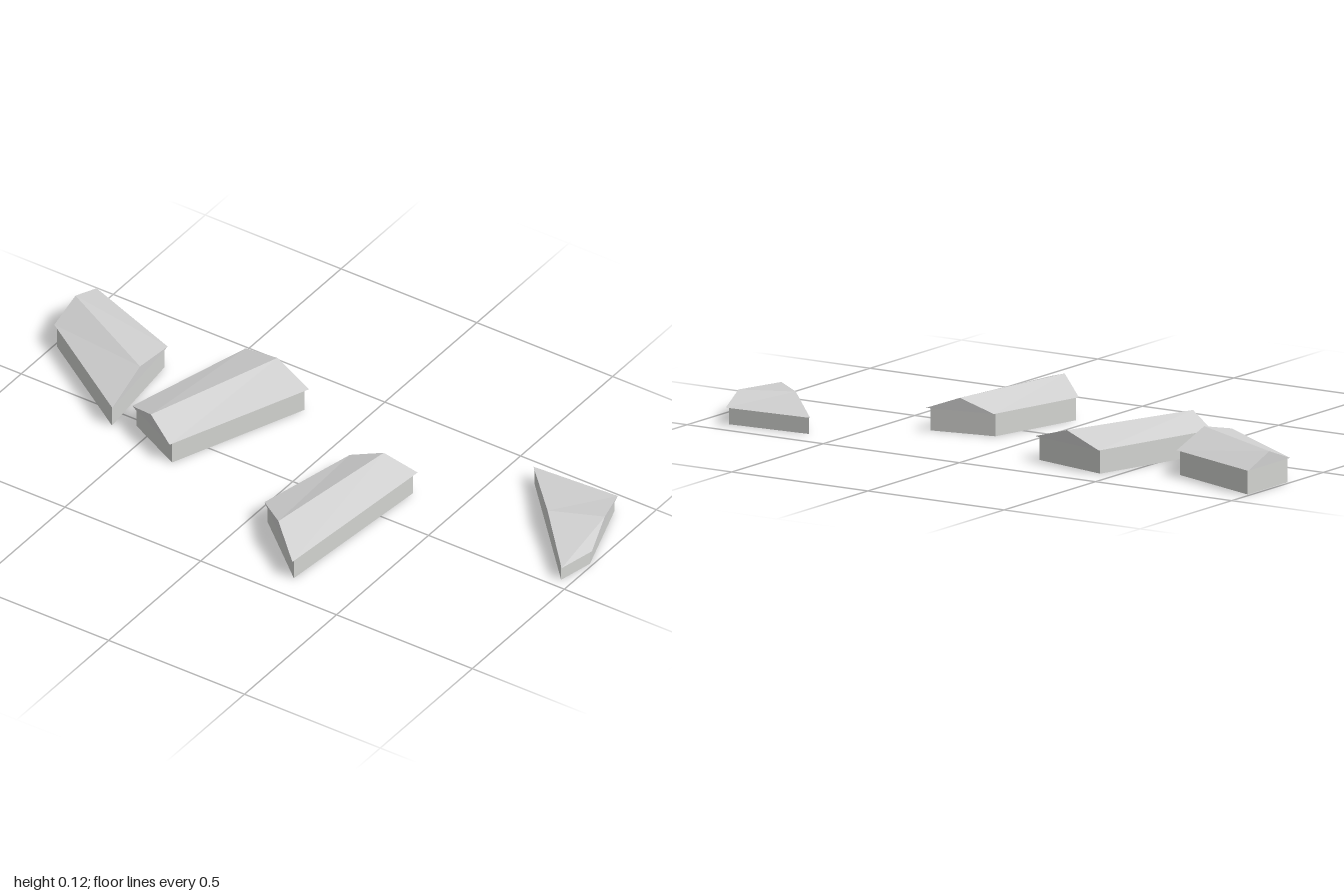
import * as THREE from 'three';

const wallGrey = new THREE.MeshStandardMaterial({ color: 0xd2d3d0 });
wallGrey.name = 'wallGrey';
const roofGrey = new THREE.MeshStandardMaterial({ color: 0xd0d0d0 });
roofGrey.name = 'roofGrey';

// Each plot: eave corners [x, z] counter-clockwise from above; gables on edges 0-1 and 2-3.
const houses = [
  { name: 'westHouse', eave: 0.077, ridge: 0.118,
    plot: [[-1, -0.41], [-1, -0.18], [-0.61, 0.08], [-0.65, -0.28]] },
  { name: 'midWestHouse', eave: 0.075, ridge: 0.116,
    plot: [[-0.17, -0.34], [-0.45, -0.408], [-0.568, 0.035], [-0.36, 0.138]] },
  { name: 'midEastHouse', eave: 0.072, ridge: 0.113,
    plot: [[0.345, -0.17], [0.122, -0.13], [0.045, 0.22], [0.29, 0.43]] },
  { name: 'eastHouse', eave: 0.053, ridge: 0.079,
    plot: [[0.605, -0.415], [0.973, -0.025], [1, -0.15], [0.903, -0.433]] },
];

// Flat-shaded mesh from polygons, each cut into a fan of triangles
function facetMesh(name, polygons, material) {
  const positions = [];
  for (const p of polygons)
    for (let i = 1; i < p.length - 1; i++) positions.push(...p[0], ...p[i], ...p[i + 1]);
  const geometry = new THREE.BufferGeometry();
  geometry.setAttribute('position', new THREE.Float32BufferAttribute(positions, 3));
  geometry.computeVertexNormals();
  const mesh = new THREE.Mesh(geometry, material);
  mesh.name = name;
  return mesh;
}

const atHeight = (plot, y) => plot.map(([x, z]) => [x, y, z]);

// Scale a plot about its centre so the eaves overhang the walls
function inset(plot, scale) {
  const lo = [0, 1].map(k => Math.min(...plot.map(p => p[k])));
  const hi = [0, 1].map(k => Math.max(...plot.map(p => p[k])));
  return plot.map(p => p.map((v, k) => {
    const c = (lo[k] + hi[k]) / 2;
    return c + (v - c) * scale;
  }));
}

function makeHouse({ name, plot, eave, ridge }) {
  const house = new THREE.Group();
  house.name = name;

  // Walls and floor
  const footprint = inset(plot, 0.95);
  const low = atHeight(footprint, 0);
  const top = atHeight(footprint, eave);
  const walls = low.map((p, i) => {
    const j = (i + 1) % 4;
    return [p, low[j], top[j], top[i]];
  });
  house.add(facetMesh('walls', [...walls, [...low].reverse()], wallGrey));

  // Gabled roof with closed underside
  const [a, b, c, d] = atHeight(plot, eave);
  const mid = (p, q) => [(p[0] + q[0]) / 2, ridge, (p[2] + q[2]) / 2];
  const r0 = mid(a, b);
  const r1 = mid(c, d);
  house.add(facetMesh('roof', [
    [b, c, r1, r0], [d, a, r0, r1],
    [a, b, r0], [c, d, r1],
    [d, c, b, a],
  ], roofGrey));
  return house;
}

export function createModel() {
  const model = new THREE.Group();
  model.name = 'houses';
  houses.forEach(h => model.add(makeHouse(h)));
  return model;
}
